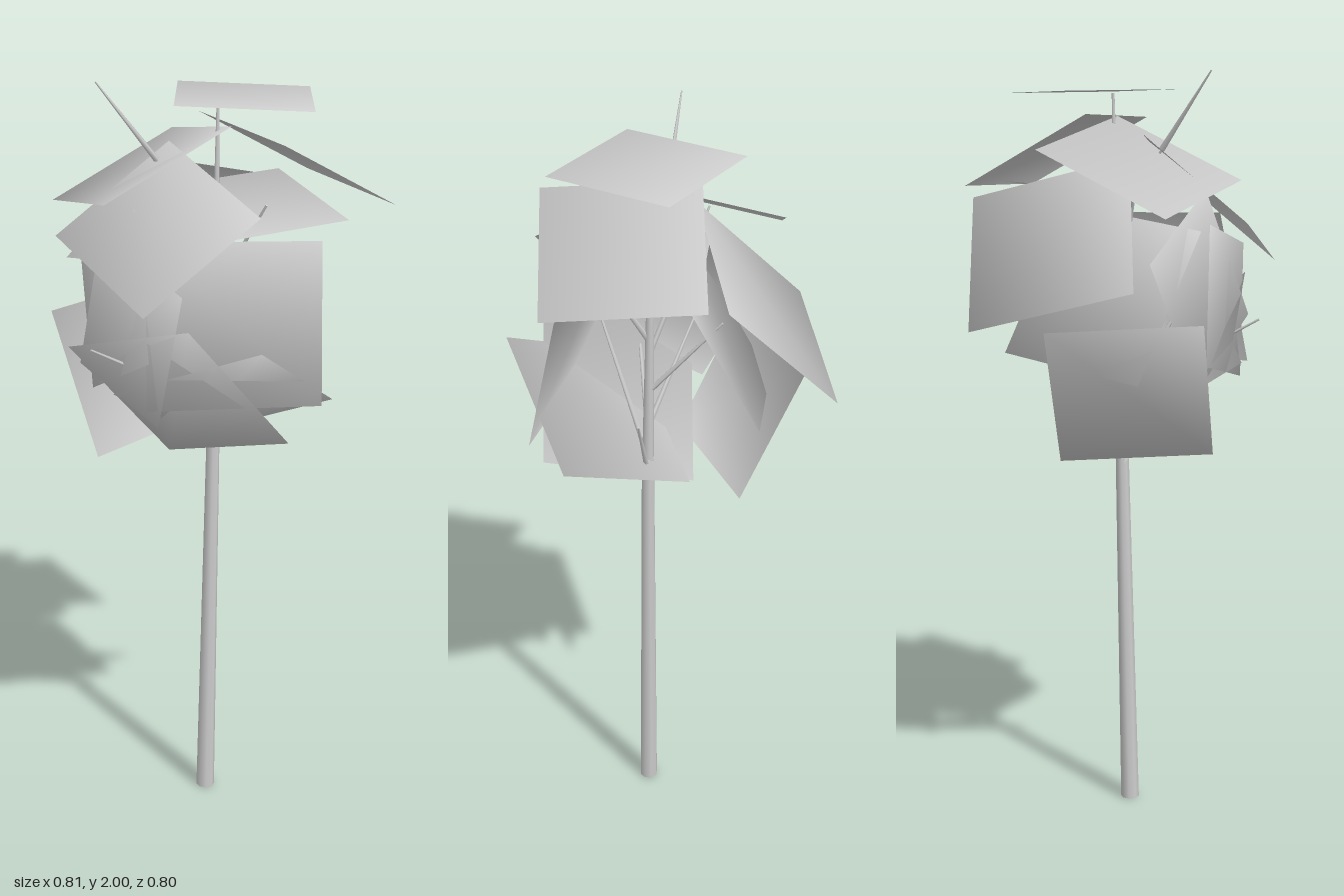
import * as THREE from 'three';

const V = (p) => new THREE.Vector3(...p);

export function createModel() {
  const tree = new THREE.Group();
  tree.name = 'tree';
  const grey = new THREE.MeshStandardMaterial({ color: 0xcccccc, side: THREE.DoubleSide });
  grey.name = 'plain grey';
  const crown = new THREE.Vector3(0, 1.4, 0);

  // Tapered limb between two points
  function limb(name, from, to, r0, r1, sides) {
    const a = V(from), b = V(to), dir = b.clone().sub(a);
    const mesh = new THREE.Mesh(new THREE.CylinderGeometry(r1, r0, dir.length(), sides), grey);
    mesh.quaternion.setFromUnitVectors(new THREE.Vector3(0, 1, 0), dir.normalize());
    mesh.position.copy(a.add(b).multiplyScalar(0.5));
    mesh.name = name;
    tree.add(mesh);
  }

  // Flat leaf card from three corners, its normals spread outward from the crown centre
  function leafCard(p, q, s) {
    const a = V(p), b = V(q), d = V(s);
    const c = b.clone().add(d).sub(a);
    const face = b.clone().sub(a).cross(d.clone().sub(a));
    const out = b.clone().add(d).multiplyScalar(0.5).sub(crown);
    const corners = face.dot(out) > 0 ? [a, b, c, d] : [a, d, c, b];
    const geo = new THREE.BufferGeometry().setFromPoints(corners);
    const normals = corners.flatMap((v) => v.clone().sub(crown).normalize().toArray());
    geo.setAttribute('normal', new THREE.Float32BufferAttribute(normals, 3));
    geo.setIndex([0, 1, 2, 0, 2, 3]);
    const mesh = new THREE.Mesh(geo, grey);
    mesh.name = 'leafCard';
    tree.add(mesh);
  }

  // Trunk and the thin leader above it
  limb('trunk', [-0.033, 0, 0.04], [-0.007, 1.1, 0.045], 0.025, 0.017, 8);
  limb('upperTrunk', [-0.007, 1.1, 0.045], [0.008, 1.65, 0.04], 0.016, 0.009, 8);
  limb('leader', [0.008, 1.65, 0.04], [0.014, 1.94, 0.04], 0.008, 0.004, 6);

  // Branches: start on the trunk, tip in the crown
  const branches = [
    [[0, 1.6, 0.03], [-0.12, 1.8, -0.045]],
    [[-0.005, 1.1, 0.045], [-0.2, 1.46, 0.12]],
    [[-0.005, 1.05, 0.045], [0.09, 1.25, 0.1]],
    [[0, 1.3, 0.045], [0.07, 1.5, -0.13]],
    [[0, 1.15, 0.045], [-0.375, 1.37, -0.04]],
    [[0, 1.45, 0.045], [0.01, 1.7, 0.2]],
    [[0, 1.4, 0.045], [-0.07, 1.76, -0.14]],
    [[0, 1.2, 0.045], [-0.18, 1.45, -0.16]],
  ];
  branches.forEach(([a, b]) => limb('branch', a, b, 0.008, 0.003, 5));
  limb('bareTwig', [-0.12, 1.8, -0.045], [-0.25, 2.0, -0.125], 0.008, 0.002, 5);

  // Leaf cards: a corner followed by its two neighbours
  const cards = [
    // roof of the crown
    [[0.106, 1.95, -0.172], [0.32, 1.937, 0.093], [-0.16, 1.95, 0.046]],
    [[-0.16, 1.655, -0.373], [0.172, 1.81, -0.25], [-0.324, 1.725, -0.035]],
    [[-0.407, 1.5, 0.163], [-0.346, 1.63, -0.18], [-0.133, 1.71, 0.296]],
    [[0.404, 1.7, 0.026], [0.285, 1.68, 0.398], [0.071, 1.89, -0.072]],
    [[0.328, 1.37, -0.341], [-0.087, 1.48, -0.402], [0.37, 1.675, -0.037]],
    [[-0.2, 1.645, 0.2], [0.15, 1.66, 0.35], [-0.05, 1.7, -0.14]],
    // front and underside
    [[0.026, 1.21, 0.372], [0.1, 1.61, 0.307], [-0.34, 1.235, 0.11]],
    [[-0.21, 1.405, 0.365], [0.15, 1.18, 0.315], [-0.33, 1.25, -0.01]],
    // back
    [[-0.265, 1.03, -0.13], [0.127, 1.01, -0.165], [-0.25, 1.39, -0.3]],
    [[0.27, 1.29, -0.16], [-0.09, 1.24, -0.325], [0.13, 1.655, 0.02]],
    // right side
    [[-0.03, 0.99, -0.09], [-0.04, 1.115, 0.32], [-0.315, 1.335, -0.177]],
    [[-0.226, 1.2, -0.18], [-0.34, 1.36, 0.12], [-0.118, 1.54, -0.32]],
    [[-0.25, 1.27, -0.2], [-0.32, 1.19, 0.13], [-0.25, 1.62, -0.12]],
  ];
  cards.forEach((c) => leafCard(...c));
  return tree;
}
